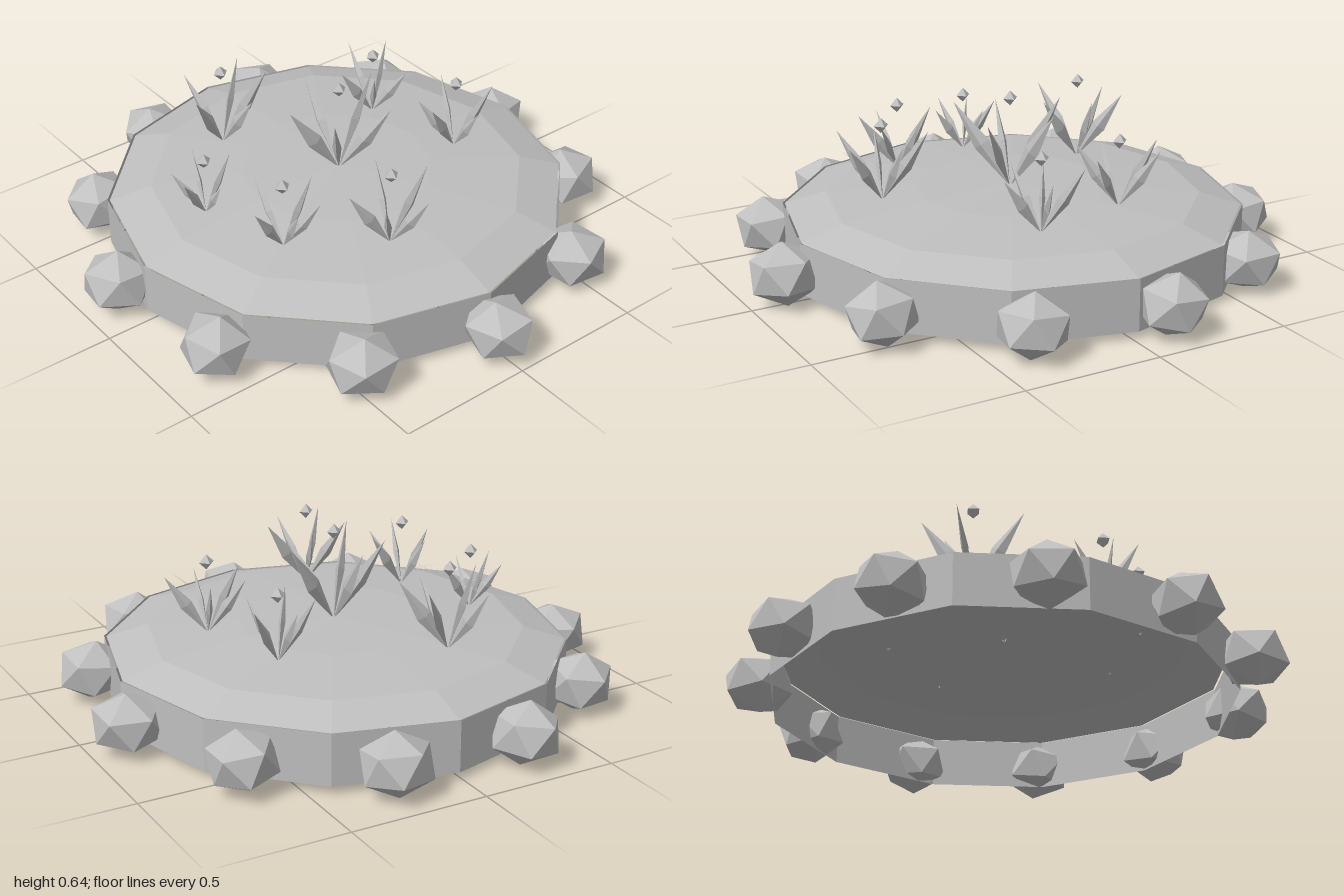
import * as THREE from 'three';

const grey = new THREE.MeshStandardMaterial({ color: 0xbfbfbf, flatShading: true, side: THREE.DoubleSide });
grey.name = 'stone grey';

function add(parent, name, geometry) {
  const mesh = new THREE.Mesh(geometry, grey);
  mesh.name = name;
  parent.add(mesh);
  return mesh;
}

const lathe = (points) => new THREE.LatheGeometry(points.map(([r, y]) => new THREE.Vector2(r, y)), 12);
const BED = { x: -0.02, z: -0.01, r: 0.838 };

// Twelve-sided bed: an open wall below a shallow dome of soil
function createBed() {
  const bed = new THREE.Group();
  bed.name = 'bed';
  bed.position.set(BED.x, 0, BED.z);
  add(bed, 'bedWall', lathe([[BED.r, 0.035], [BED.r, 0.222]]));
  add(bed, 'soilDome', lathe([[BED.r - 0.008, 0.22], [0.68, 0.268], [0.35, 0.294], [0, 0.302]]));
  return bed;
}

// Ring of squat stones, each an icosahedron standing on a corner
function createStones() {
  const ring = new THREE.Group();
  ring.name = 'stoneRing';
  const stone = new THREE.IcosahedronGeometry(0.14, 0);
  stone.rotateZ(Math.atan(2 / (1 + Math.sqrt(5))));
  stone.rotateX(0.16);
  stone.scale(0.97, 0.81, 0.92);
  const count = 11;
  for (let i = 0; i < count; i++) {
    const a = (i / count) * Math.PI * 2;
    const mesh = add(ring, 'stone', stone);
    mesh.position.set(Math.cos(a) * 0.882 - 0.008, 0.12, Math.sin(a) * 0.882);
    mesh.rotation.y = i * 1.3;
  }
  return ring;
}

// Pointed blade with its root at the origin, leaning towards +x
const TILT = 0.6;
const blade = new THREE.OctahedronGeometry(1);
blade.scale(0.031, 0.18, 0.016);
blade.translate(0, 0.18, 0);
blade.rotateZ(-TILT);
const bud = new THREE.OctahedronGeometry(0.028);

// Tuft of five blades around a floating bud
function createPlant([x, z, size, budY, angles]) {
  const plant = new THREE.Group();
  plant.name = 'plant';
  const r = Math.hypot(x - BED.x, z - BED.z) / BED.r;
  plant.position.set(x, 0.21 + 0.08 * Math.sqrt(1 - r * r), z);
  angles.forEach((deg, i) => {
    const leaf = add(plant, 'leaf', blade);
    leaf.rotation.y = -THREE.MathUtils.degToRad(deg);
    leaf.scale.setScalar(size * (i % 2 ? 0.94 : 1.03));
  });
  add(plant, 'bud', bud).position.y = budY - plant.position.y;
  return plant;
}

// x, z, size, bud height, blade directions in degrees
const PLANTS = [
  [-0.01, -0.01, 1, 0.622, [-107, -36, 42, 103, 180]],
  [-0.43, 0.21, 0.86, 0.573, [-125, -8, 64, 158, -76]],
  [0.44, 0.12, 0.8, 0.553, [-92, -18, 45, 106, 200]],
  [-0.25, -0.36, 0.74, 0.52, [-122, -24, 37, 94, 182]],
  [0.12, -0.45, 0.72, 0.542, [-74, 5, 75, 123, 200]],
  [0.23, 0.42, 0.7, 0.52, [-100, -37, 15, 80, 175]],
  [-0.1, 0.515, 0.6, 0.488, [-100, 5, 67, 125, 195]],
];

export function createModel() {
  const model = new THREE.Group();
  model.name = 'plantBed';
  model.add(createBed(), createStones());
  PLANTS.forEach((p) => model.add(createPlant(p)));
  return model;
}
